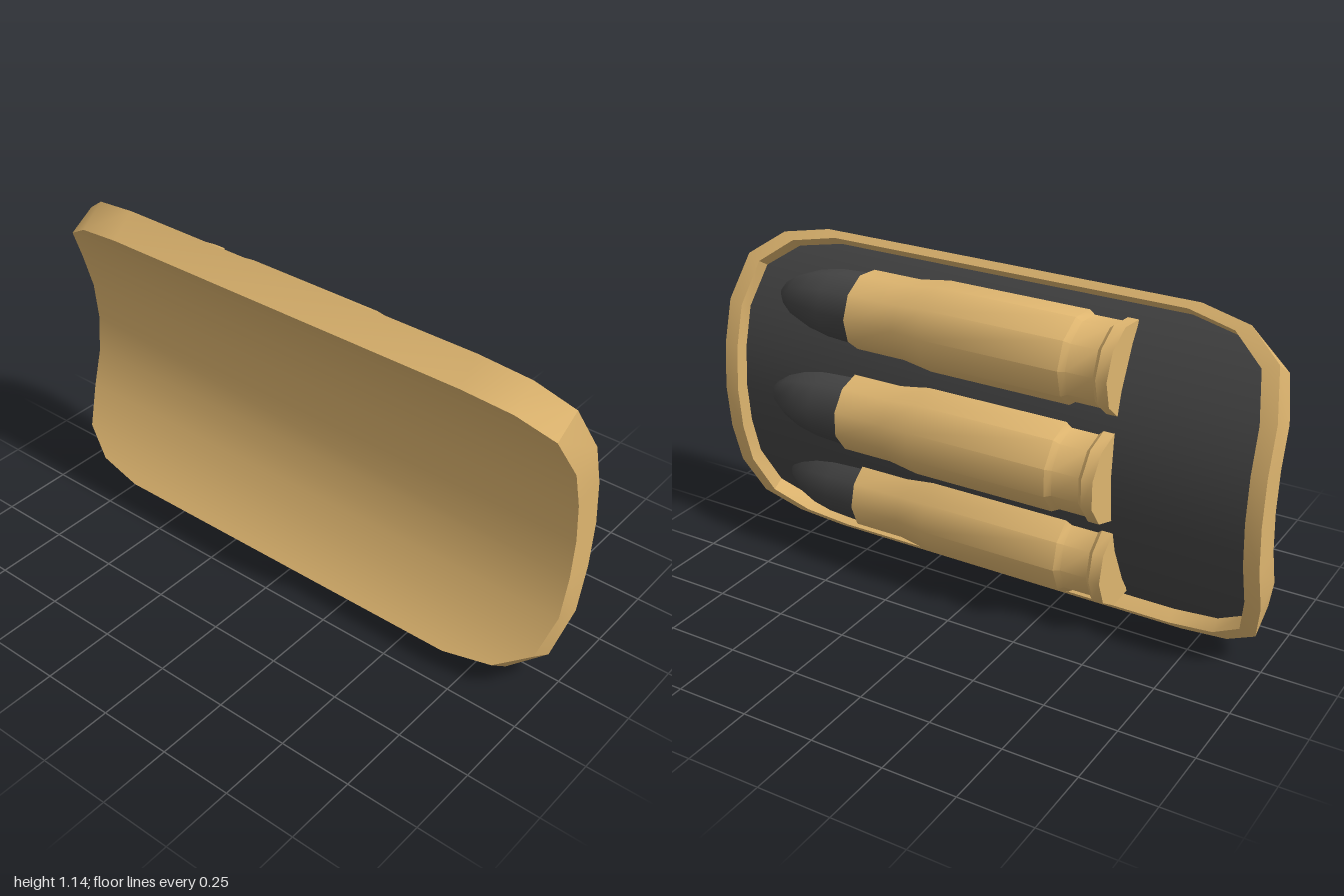
import * as THREE from 'three';
import { toCreasedNormals } from 'three/addons/utils/BufferGeometryUtils.js';

const brass = new THREE.MeshStandardMaterial({ color: 0xdeb56f });
const dark = new THREE.MeshStandardMaterial({ color: 0x444444 });

// The plate bends round an axis along z
const AXIS_X = -0.75, MID_Y = 0.57;
const BACK_R = 0.75, FRONT_R = 0.862, FLOOR_R = 0.812;

// Upper half of the rounded outline: [angle round the axis, half length]
const half = [[0, 1], [0.184, 1], [0.367, 1], [0.562, 0.965], [0.676, 0.85], [0.721, 0.68]];
const rows = [...half.slice(1).reverse().map(([a, h]) => [-a, h]), ...half];

const bend = (a, z, r) => [AXIS_X + r * Math.cos(a), MID_Y + r * Math.sin(a), z];

// One long side of the outline, at a radius, optionally inset for the rim
function side(r, sign, inset) {
  const sa = inset ? 0.957 : 1, sz = inset ? 0.948 : 1;
  return rows.map(([a, h]) => bend(a * sa, sign * h * sz, r));
}
function loop(r, inset = false) {
  const pts = [...side(r, 1, inset), ...side(r, -1, inset).reverse()];
  return [...pts, pts[0]];
}
// Quads between two matching rows of points
function strip(a, b) {
  const out = [];
  for (let i = 0; i < a.length - 1; i++) {
    out.push(...a[i], ...b[i], ...a[i + 1], ...b[i], ...b[i + 1], ...a[i + 1]);
  }
  return out;
}
function surface(positions, crease = 0.6) {
  const g = new THREE.BufferGeometry();
  g.setAttribute('position', new THREE.Float32BufferAttribute(positions, 3));
  return toCreasedNormals(g, crease);
}
function addMesh(parent, name, geometry, material) {
  const m = new THREE.Mesh(geometry, material);
  m.name = name;
  parent.add(m);
  return m;
}

// Half-round turned part: profile of [radius, z], bulging toward +x
function halfTurned(profile) {
  const g = new THREE.LatheGeometry(profile.map(([r, z]) => new THREE.Vector2(r, z)), 5, 0, Math.PI);
  g.rotateX(Math.PI / 2);
  return toCreasedNormals(g, 0.65);
}

const caseProfile = [
  [0, -0.485], [0.153, -0.485], [0.153, -0.447], [0.14, -0.432], [0.14, -0.338],
  [0.153, -0.318], [0.153, 0.19], [0.137, 0.3], [0.137, 0.485], [0.126, 0.485],
];
const tipProfile = [
  [0.126, 0.48], [0.119, 0.61], [0.104, 0.69], [0.078, 0.76], [0.045, 0.81], [0.02, 0.832], [0, 0.84],
];

export function createModel() {
  const model = new THREE.Group();
  model.name = 'cartridgePlate';

  // Curved plate: back, outer wall, rim face, inner wall
  const shell = [
    ...strip(side(BACK_R, -1), side(BACK_R, 1)),
    ...strip(loop(BACK_R), loop(FRONT_R)),
    ...strip(loop(FRONT_R), loop(FRONT_R, true)),
    ...strip(loop(FRONT_R, true), loop(FLOOR_R, true)),
  ];
  addMesh(model, 'plateShell', surface(shell), brass);

  // Recessed dark panel
  addMesh(model, 'recessedPanel',
    surface(strip(side(FLOOR_R, 1, true), side(FLOOR_R, -1, true))), dark);

  // Three half-round cartridges following the bend
  const caseGeometry = halfTurned(caseProfile);
  const tipGeometry = halfTurned(tipProfile);
  ['lower', 'middle', 'upper'].forEach((label, i) => {
    const k = i - 1;
    const cartridge = new THREE.Group();
    cartridge.name = label + 'Cartridge';
    addMesh(cartridge, 'case', caseGeometry, brass);
    addMesh(cartridge, 'tip', tipGeometry, dark);
    cartridge.position.set(k ? -0.034 : 0.044, MID_Y + k * 0.338, 0);
    cartridge.rotation.z = k * 0.38;
    model.add(cartridge);
  });

  return model;
}
